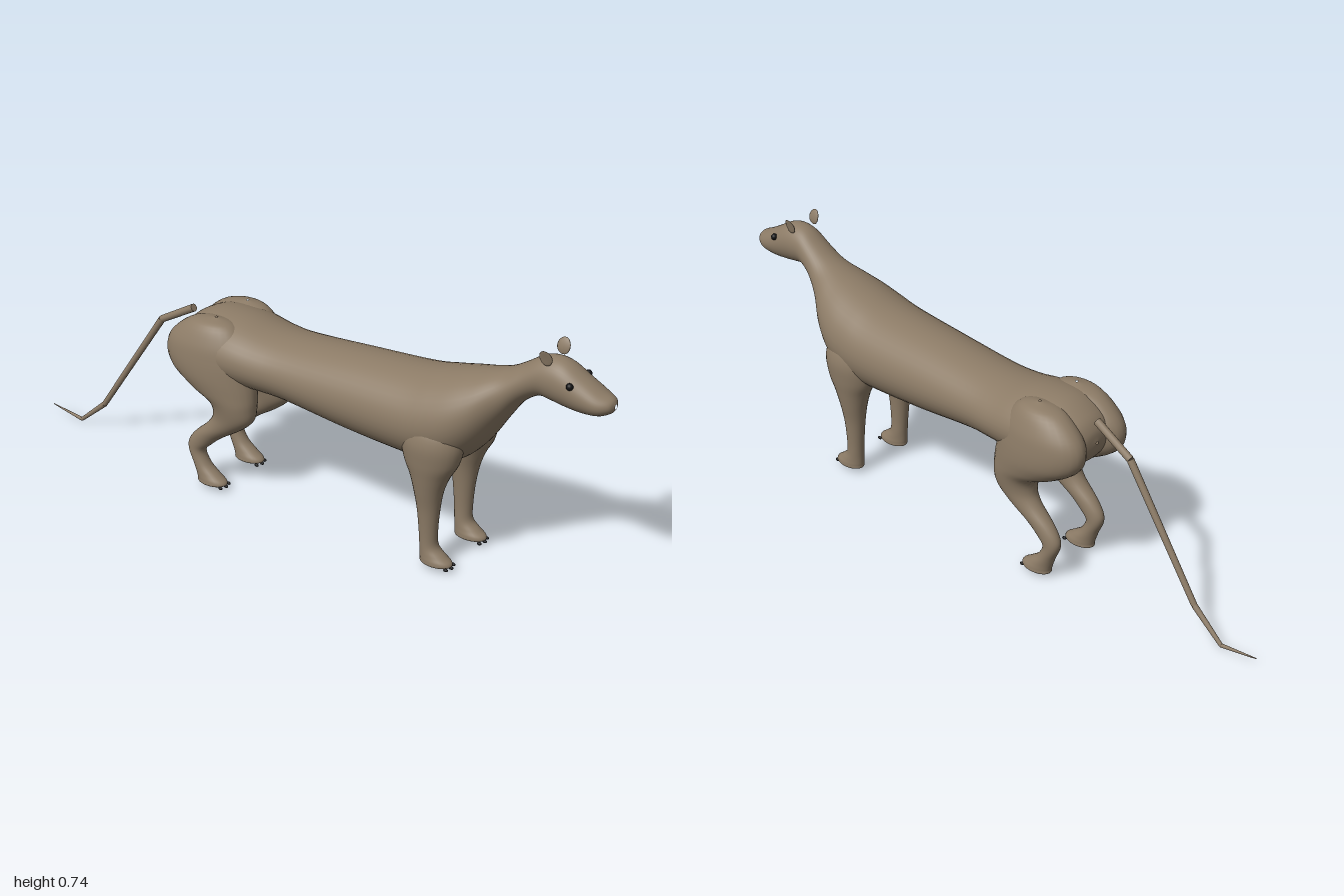
import * as THREE from 'three';

const fur = new THREE.MeshStandardMaterial({ name: 'brown fur', color: 0x8c7b66 });
const black = new THREE.MeshStandardMaterial({ name: 'black', color: 0x121214 });

// Smooth closed skin through elliptical rings [x, y, z, radiusX, otherRadius].
// Rings are upright when axis is 'z' (front to back), level when it is 'y' (top to bottom).
function loft(stations, axis, steps, sides) {
  const centres = new THREE.CatmullRomCurve3(stations.map(s => new THREE.Vector3(s[0], s[1], s[2])), false, 'catmullrom');
  const radii = new THREE.CatmullRomCurve3(stations.map(s => new THREE.Vector3(s[3], s[4], 0)), false, 'catmullrom');
  const rings = (stations.length - 1) * steps;
  const pos = [], index = [];
  for (let i = 0; i <= rings; i++) {
    const c = centres.getPoint(i / rings), r = radii.getPoint(i / rings);
    for (let j = 0; j < sides; j++) {
      const a = (j / sides) * Math.PI * 2;
      const u = Math.max(r.x, 0.0005) * Math.cos(a), v = Math.max(r.y, 0.0005) * Math.sin(a);
      if (axis === 'z') pos.push(c.x + u, c.y + v, c.z);
      else pos.push(c.x + u, c.y, c.z - v);
      if (i < rings) {
        const k = (j + 1) % sides, p = i * sides, q = p + sides;
        index.push(p + j, q + j, p + k, p + k, q + j, q + k);
      }
    }
  }
  const g = new THREE.BufferGeometry();
  g.setAttribute('position', new THREE.Float32BufferAttribute(pos, 3));
  g.setIndex(index);
  g.computeVertexNormals();
  return g;
}

function add(parent, name, geometry, material) {
  const m = new THREE.Mesh(geometry, material);
  m.name = name;
  parent.add(m);
  return m;
}

// Head, neck and trunk: z, top, bottom, half width
const TRUNK = [
  [1.0, 0.625, 0.61, 0.006], [0.99, 0.638, 0.597, 0.028], [0.96, 0.652, 0.583, 0.046],
  [0.91, 0.68, 0.578, 0.053], [0.86, 0.708, 0.582, 0.056], [0.82, 0.715, 0.588, 0.055],
  [0.78, 0.705, 0.59, 0.053], [0.73, 0.672, 0.555, 0.059], [0.68, 0.643, 0.485, 0.078],
  [0.62, 0.622, 0.395, 0.118], [0.56, 0.607, 0.337, 0.142], [0.49, 0.59, 0.313, 0.15],
  [0.4, 0.573, 0.312, 0.149], [0.2, 0.56, 0.325, 0.139], [0, 0.546, 0.35, 0.132],
  [-0.1, 0.548, 0.355, 0.138], [-0.2, 0.565, 0.355, 0.147], [-0.3, 0.566, 0.36, 0.14],
  [-0.37, 0.535, 0.385, 0.105], [-0.4, 0.5, 0.42, 0.06], [-0.408, 0.465, 0.455, 0.004],
];

// Legs: y, x centre, x radius, z centre, z radius
const FRONT_LEG = [
  [0.5, 0.085, 0.004, 0.5, 0.004], [0.46, 0.087, 0.05, 0.5, 0.075], [0.41, 0.09, 0.066, 0.5, 0.095],
  [0.35, 0.093, 0.06, 0.5, 0.085], [0.3, 0.095, 0.05, 0.498, 0.06], [0.25, 0.096, 0.04, 0.496, 0.044],
  [0.19, 0.094, 0.031, 0.496, 0.034], [0.12, 0.093, 0.026, 0.497, 0.028], [0.075, 0.092, 0.026, 0.5, 0.028],
  [0.05, 0.092, 0.029, 0.513, 0.04], [0.034, 0.092, 0.032, 0.524, 0.05], [0.022, 0.092, 0.029, 0.524, 0.046],
  [0.018, 0.092, 0.002, 0.52, 0.002],
];
const HIND_LEG = [
  [0.566, 0.075, 0.004, -0.26, 0.004], [0.55, 0.077, 0.045, -0.27, 0.075], [0.5, 0.081, 0.068, -0.28, 0.13],
  [0.45, 0.083, 0.076, -0.28, 0.15], [0.4, 0.084, 0.077, -0.266, 0.146], [0.355, 0.087, 0.068, -0.232, 0.118],
  [0.315, 0.09, 0.056, -0.193, 0.08], [0.27, 0.091, 0.046, -0.19, 0.069], [0.23, 0.092, 0.038, -0.222, 0.058],
  [0.185, 0.092, 0.03, -0.281, 0.048], [0.15, 0.092, 0.026, -0.315, 0.04], [0.12, 0.092, 0.024, -0.329, 0.028],
  [0.08, 0.092, 0.025, -0.312, 0.028], [0.052, 0.092, 0.028, -0.29, 0.04], [0.034, 0.092, 0.031, -0.275, 0.05],
  [0.022, 0.092, 0.029, -0.275, 0.046], [0.018, 0.092, 0.002, -0.28, 0.002],
];

// Tail joints: y, z, radius
const TAIL = [
  [0.53, -0.405, 0.012], [0.46, -0.53, 0.011], [0.097, -0.78, 0.009], [0.013, -0.88, 0.006], [0.033, -1.0, 0.0015],
];

function ear(side) {
  const g = new THREE.SphereGeometry(1, 16, 12);
  const p = g.attributes.position;
  for (let i = 0; i < p.count; i++) {
    const t = (p.getY(i) + 1) / 2; // the tip curls outward
    p.setXYZ(i, p.getX(i) * 0.004 + side * (0.044 + 0.012 * t * t), 0.7 + 0.046 * t, 0.812 + p.getZ(i) * 0.02);
  }
  g.computeVertexNormals();
  return g;
}

export function createModel() {
  const model = new THREE.Group();
  model.name = 'longTailedAnimal';

  const trunk = TRUNK.map(([z, top, bottom, w]) => [0, (top + bottom) / 2, z, w, (top - bottom) / 2]);
  add(model, 'headAndBody', loft(trunk, 'z', 5, 40), fur);

  for (const side of [1, -1]) {
    const label = side > 0 ? 'left' : 'right';
    for (const [part, rows, toe] of [['FrontLeg', FRONT_LEG, 0.574], ['HindLeg', HIND_LEG, -0.225]]) {
      const leg = new THREE.Group();
      leg.name = label + part;
      model.add(leg);
      const rings = rows.map(([y, x, rx, z, rz]) => [side * x, y, z, rx, rz]);
      add(leg, 'limbAndPaw', loft(rings, 'y', 5, 28), fur);
      // Claws
      for (const k of [-1, 0, 1]) {
        const claw = add(leg, 'claw', new THREE.SphereGeometry(0.005, 10, 8), black);
        claw.scale.z = 1.5;
        claw.position.set(side * 0.09 + k * 0.02, 0.021, toe - Math.abs(k) * 0.006);
      }
    }
    add(model, label + 'Ear', ear(side), fur);
    const eye = add(model, label + 'Eye', new THREE.SphereGeometry(0.01, 16, 12), black);
    eye.position.set(side * 0.051, 0.663, 0.888);
  }

  // Tail of straight tapering segments
  const tail = new THREE.Group();
  tail.name = 'tail';
  model.add(tail);
  for (let i = 0; i < TAIL.length - 1; i++) {
    const [y0, z0, r0] = TAIL[i], [y1, z1, r1] = TAIL[i + 1];
    const a = new THREE.Vector3(0, y0, z0), d = new THREE.Vector3(0, y1 - y0, z1 - z0);
    const seg = add(tail, 'tailSegment', new THREE.CylinderGeometry(r1, r0, d.length(), 12), fur);
    seg.position.copy(a).addScaledVector(d, 0.5);
    seg.quaternion.setFromUnitVectors(new THREE.Vector3(0, 1, 0), d.normalize());
  }
  return model;
}
